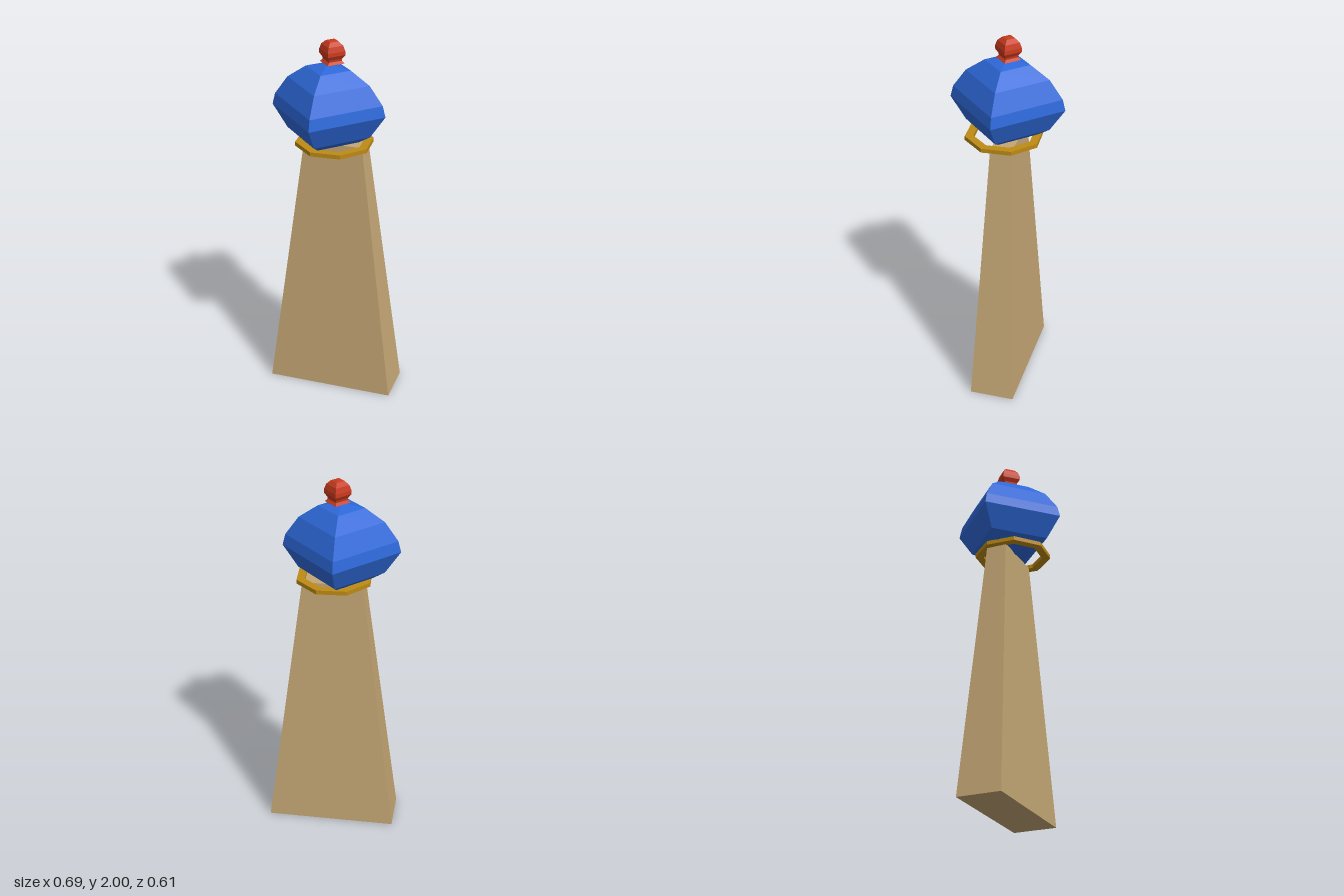
import * as THREE from 'three';

const material = (color) => new THREE.MeshStandardMaterial({ color, flatShading: true });

// Four-sided turned solid, corners on the x and z axes; profile runs [radius, y] upwards
function squareTurned(name, profile, x, z, mat) {
  const points = profile.map(([r, y]) => new THREE.Vector2(r, y));
  const mesh = new THREE.Mesh(new THREE.LatheGeometry(points, 4), mat);
  mesh.name = name;
  mesh.position.set(x, 0, z);
  return mesh;
}

export function createModel() {
  const model = new THREE.Group();
  model.name = 'tower';

  // Tapered slab body
  const bodyGeometry = new THREE.BoxGeometry(0.69, 1.45, 0.24);
  const p = bodyGeometry.attributes.position;
  for (let i = 0; i < p.count; i++) {
    if (p.getY(i) > 0) p.setXYZ(i, p.getX(i) * 0.455, p.getY(i), p.getZ(i) * 0.46);
  }
  bodyGeometry.translate(0, 0.725, -0.02);
  const body = new THREE.Mesh(bodyGeometry, material(0xc4a674));
  body.name = 'body';
  model.add(body);

  // Flat octagonal collar, open in the middle
  const section = [[0.16, 1.444], [0.205, 1.444], [0.205, 1.466], [0.16, 1.466], [0.16, 1.444]];
  const collar = new THREE.Mesh(
    new THREE.LatheGeometry(section.map(([r, y]) => new THREE.Vector2(r, y)), 8),
    material(0xbd8a14)
  );
  collar.name = 'collar';
  collar.rotation.y = THREE.MathUtils.degToRad(26);
  collar.position.z = 0.007;
  model.add(collar);

  // Faceted dome
  model.add(squareTurned('dome', [
    [0, 1.437], [0.165, 1.465], [0.225, 1.5], [0.305, 1.62], [0.29, 1.68],
    [0.22, 1.78], [0.12, 1.85], [0, 1.873],
  ], -0.036, 0, material(0x2d68d8)));

  // Finial with flared foot, neck and rounded knob
  model.add(squareTurned('finial', [
    [0, 1.868], [0.04, 1.872], [0.066, 1.88], [0.05, 1.893], [0.053, 1.905], [0.07, 1.925],
    [0.069, 1.945], [0.058, 1.973], [0.034, 1.993], [0, 2],
  ], -0.018, -0.011, material(0xc83a1e)));

  return model;
}
